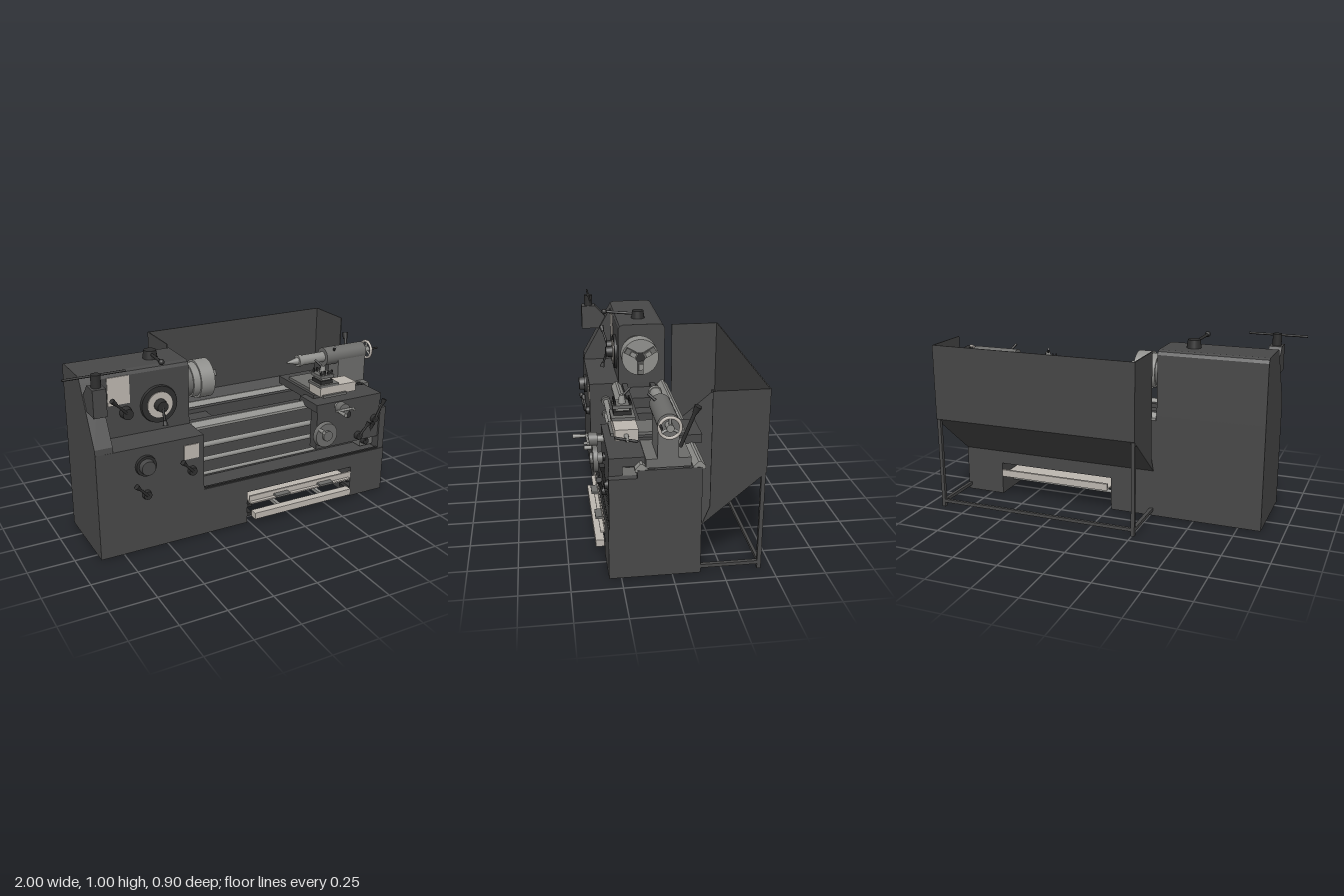
import * as THREE from 'three';

const paint = (name, color, side = THREE.FrontSide) => {
  const m = new THREE.MeshStandardMaterial({ color, side });
  m.name = name;
  return m;
};

export function createModel() {
  const root = new THREE.Group();
  root.name = 'metalLathe';
  const body = paint('body grey', 0x484848);
  const sheet = paint('sheet grey', 0x464646, THREE.DoubleSide);
  const black = paint('black', 0x2e2e2e);
  const cast = paint('cast grey', 0x6c6c6a);
  const steel = paint('steel', 0x8f8f8c);
  const light = paint('light beige', 0xbdb7b0);

  const add = (name, geo, mat, parent = root) => {
    const m = new THREE.Mesh(geo, mat);
    m.name = name;
    parent.add(m);
    return m;
  };
  // Box given by its limits on each axis
  const box = (name, mat, x0, x1, y0, y1, z0, z1) =>
    add(name, new THREE.BoxGeometry(x1 - x0, y1 - y0, z1 - z0)
      .translate((x0 + x1) / 2, (y0 + y1) / 2, (z0 + z1) / 2), mat);
  // Round bar between two points
  const bar = (name, mat, a, b, r0, r1 = r0, seg = 20) => {
    const p = new THREE.Vector3(...a), q = new THREE.Vector3(...b);
    const d = q.clone().sub(p);
    const m = add(name, new THREE.CylinderGeometry(r1, r0, d.length(), seg), mat);
    m.position.copy(p).add(q).multiplyScalar(0.5);
    m.quaternion.setFromUnitVectors(new THREE.Vector3(0, 1, 0), d.normalize());
    return m;
  };
  const ball = (name, mat, c, r) =>
    add(name, new THREE.SphereGeometry(r, 16, 12), mat).position.set(...c);
  // Outline of [z, y] points pulled along x
  const profile = (name, mat, pts, x0, x1) => {
    const s = new THREE.Shape(pts.map(p => new THREE.Vector2(...p)));
    const g = new THREE.ExtrudeGeometry(s, { depth: x1 - x0, bevelEnabled: false });
    return add(name, g.rotateY(-Math.PI / 2).translate(x1, 0, 0), mat);
  };
  // Lever with hub on a front-facing panel and a knob at its end
  const lever = (name, x, y, z, dx, dy, out = 0.03, r = 0.028) => {
    bar(name + 'Hub', black, [x, y, z], [x, y, z + out], r, r * 0.85);
    bar(name + 'Arm', black, [x, y, z + out * 0.8], [x + dx, y + dy, z + out * 1.5], 0.008, 0.006, 10);
    bar(name + 'Knob', black, [x + dx * 0.8, y + dy * 0.8, z + out * 1.4],
      [x + dx * 1.1, y + dy * 1.1, z + out * 1.55], 0.009, 0.015, 12);
  };

  // Cabinet and base
  box('headCabinet', body, -0.875, -0.28, 0, 0.59, -0.14, 0.31);
  box('basePedestalLeft', body, -0.28, -0.015, 0, 0.27, -0.14, 0.31);
  box('basePedestalRight', body, 0.68, 0.91, 0, 0.27, -0.14, 0.31);
  box('baseBeamFront', body, -0.015, 0.68, 0.19, 0.27, 0.09, 0.31);
  box('baseBeamRear', body, -0.015, 0.68, 0.19, 0.27, -0.14, -0.05);
  box('drainLip', black, -0.28, 0.87, 0.27, 0.278, 0.29, 0.305);

  // Headstock and its sloping end cover
  const crown = [[0.105, 0.945], [-0.115, 0.945], [-0.132, 0.937], [-0.14, 0.92]];
  profile('headstock', body, [[0.135, 0.585], [0.135, 0.92], [0.127, 0.937], ...crown, [-0.14, 0.585]], -0.79, -0.28);
  profile('endCover', body, [[0.31, 0.585], [0.305, 0.62], [0.14, 0.915], [0.127, 0.937], ...crown, [-0.14, 0.585]], -0.875, -0.78);
  bar('topLeverHub', black, [-0.44, 0.945, 0], [-0.44, 0.99, 0], 0.04, 0.034);
  bar('topLeverArm', black, [-0.44, 0.97, 0.02], [-0.46, 0.982, 0.19], 0.008);
  ball('topLeverKnob', black, [-0.46, 0.983, 0.2], 0.016);

  // Headstock controls
  box('speedChart', light, -0.735, -0.615, 0.77, 0.92, 0.135, 0.14);
  lever('feedLever', -0.64, 0.72, 0.135, -0.085, 0.09, 0.04, 0.034);
  bar('dialRim', black, [-0.455, 0.735, 0.135], [-0.455, 0.735, 0.15], 0.104, 0.1, 40);
  bar('dialFace', light, [-0.455, 0.735, 0.15], [-0.455, 0.735, 0.156], 0.07, 0.07, 40);
  lever('speedLever', -0.455, 0.735, 0.156, 0, -0.085, 0.04, 0.035);

  // Cabinet controls
  bar('rangeDial', black, [-0.61, 0.485, 0.31], [-0.61, 0.485, 0.325], 0.058, 0.055, 32);
  bar('rangeDialKnob', body, [-0.61, 0.485, 0.325], [-0.61, 0.485, 0.355], 0.042, 0.038, 32);
  box('feedChart', light, -0.395, -0.31, 0.47, 0.55, 0.31, 0.315);
  lever('threadLever', -0.35, 0.4, 0.31, -0.06, 0.065, 0.02, 0.026);
  lever('directionLever', -0.61, 0.32, 0.31, -0.06, 0.065, 0.02, 0.026);

  // Box on the end cover with a post and cross bar
  profile('endBox', body, [[0.315, 0.79], [0.315, 0.935], [0.23, 0.935], [0.17, 0.87], [0.17, 0.79]], -0.87, -0.8);
  bar('endBoxPost', black, [-0.835, 0.935, 0.27], [-0.835, 1.0, 0.27], 0.025);
  bar('endBoxCrossBar', black, [-1, 0.994, 0.268], [-0.68, 0.994, 0.268], 0.006, 0.006, 10);

  // Chuck with three jaws
  const cy = 0.795, cz = 0.025;
  bar('spindleNose', cast, [-0.28, cy, cz], [-0.235, cy, cz], 0.085, 0.085, 40);
  bar('chuckBackplate', steel, [-0.24, cy, cz], [-0.2, cy, cz], 0.095, 0.095, 40);
  bar('chuckBody', steel, [-0.2, cy, cz], [-0.12, cy, cz], 0.106, 0.106, 40);
  bar('chuckBore', black, [-0.12, cy, cz], [-0.118, cy, cz], 0.03);
  for (let i = 0; i < 3; i++) {
    const jaw = new THREE.Group();
    jaw.name = 'chuckJaw';
    add('jawSlide', new THREE.BoxGeometry(0.016, 0.075, 0.034).translate(-0.112, 0.06, 0), cast, jaw);
    add('jawStep', new THREE.BoxGeometry(0.03, 0.035, 0.026).translate(-0.105, 0.05, 0), steel, jaw);
    jaw.position.set(0, cy, cz);
    jaw.rotation.x = Math.PI + i * Math.PI * 2 / 3;
    root.add(jaw);
  }

  // Bed walls, ways and cross webs
  box('bedWallFront', body, -0.28, 0.89, 0.27, 0.57, 0.09, 0.165);
  box('bedWallRear', body, -0.28, 0.89, 0.27, 0.57, -0.14, -0.05);
  box('bedHeadWeb', body, -0.28, -0.09, 0.27, 0.56, -0.05, 0.09);
  box('bedTailWeb', body, 0.72, 0.89, 0.27, 0.56, -0.05, 0.09);
  box('bedCentreWeb', body, -0.09, 0, 0.27, 0.5, -0.05, 0.09);
  for (const z of [0.15, -0.125])
    profile('veeWay', steel, [[z - 0.03, 0.56], [z + 0.03, 0.56], [z + 0.03, 0.575], [z + 0.006, 0.6], [z - 0.006, 0.6], [z - 0.03, 0.575]], -0.28, 0.908);
  for (const z of [0.1, -0.065]) box('flatWay', body, -0.28, 0.9, 0.57, 0.585, z - 0.015, z + 0.015);

  // Lead screw, feed rod and control rod
  [[0.485, 0.015], [0.4, 0.013], [0.315, 0.01]].forEach(([y, r]) => {
    bar('driveRod', steel, [-0.28, y, 0.215], [0.88, y, 0.215], r);
    bar('rodCollar', cast, [-0.28, y, 0.215], [-0.255, y, 0.215], r * 1.8);
  });
  box('rodBracket', cast, 0.78, 0.87, 0.28, 0.53, 0.165, 0.25);
  box('bedEndPlate', body, 0.87, 0.91, 0.27, 0.53, 0.16, 0.305);
  box('bedEndCap', body, 0.885, 0.91, 0.27, 0.57, -0.14, 0.17);

  // Saddle and apron
  box('saddle', body, 0.47, 0.68, 0.595, 0.64, -0.18, 0.2);
  box('saddleFront', body, 0.43, 0.87, 0.575, 0.62, 0.12, 0.3);
  box('apron', body, 0.435, 0.865, 0.35, 0.58, 0.235, 0.3);
  bar('apronWheel', cast, [0.47, 0.45, 0.325], [0.47, 0.45, 0.35], 0.075, 0.07, 36);
  bar('apronWheelHub', cast, [0.47, 0.45, 0.3], [0.47, 0.45, 0.365], 0.03);
  bar('apronWheelGrip', steel, [0.425, 0.49, 0.345], [0.425, 0.49, 0.39], 0.01, 0.012);
  bar('apronPlug', black, [0.64, 0.53, 0.3], [0.64, 0.53, 0.31], 0.02);
  lever('halfNutLever', 0.72, 0.385, 0.3, 0.045, 0.075, 0.025, 0.024);
  lever('clutchLever', 0.83, 0.47, 0.3, 0.04, 0.11, 0.02, 0.024);
  lever('spindleLever', 0.8, 0.32, 0.25, 0.02, 0.11, 0.035, 0.022);

  // Cross slide with its crank
  box('crossSlide', cast, 0.49, 0.65, 0.64, 0.655, -0.1, 0.27);
  box('crossSlideBlock', light, 0.48, 0.72, 0.645, 0.7, 0.14, 0.255);
  bar('crossScrew', steel, [0.565, 0.597, 0.29], [0.565, 0.597, 0.33], 0.018);
  bar('crossWheel', cast, [0.565, 0.597, 0.33], [0.565, 0.597, 0.375], 0.034, 0.034, 28);
  bar('crossCrank', steel, [0.505, 0.597, 0.378], [0.625, 0.597, 0.378], 0.007);
  bar('crossGrip', steel, [0.52, 0.597, 0.378], [0.52, 0.597, 0.45], 0.007, 0.011);
  bar('crossGripShort', steel, [0.615, 0.597, 0.378], [0.615, 0.597, 0.4], 0.007);

  // Top slide and four-way tool post
  bar('topSlideScrew', steel, [0.72, 0.668, 0.2], [0.79, 0.668, 0.2], 0.012, 0.006);
  bar('topSlideCrank', black, [0.765, 0.655, 0.15], [0.765, 0.68, 0.26], 0.007);
  box('topSlide', cast, 0.47, 0.6, 0.7, 0.715, 0.14, 0.26);
  box('toolPostBase', black, 0.485, 0.565, 0.715, 0.735, 0.155, 0.245);
  box('toolPostCore', steel, 0.495, 0.555, 0.735, 0.75, 0.165, 0.235);
  box('toolPostTop', cast, 0.48, 0.57, 0.75, 0.768, 0.15, 0.25);
  for (const x of [0.49, 0.513, 0.537, 0.56])
    for (const z of [0.162, 0.238])
      bar('clampScrew', black, [x, 0.768, z], [x, 0.79, z], 0.006, 0.006, 8);
  bar('toolPostHub', steel, [0.525, 0.768, 0.2], [0.525, 0.81, 0.2], 0.02, 0.012);
  bar('toolPostHandle', black, [0.525, 0.8, 0.2], [0.5, 0.835, 0.155], 0.006);

  // Tailstock
  profile('tailstockBase', cast, [[0.13, 0.58], [0.13, 0.625], [-0.085, 0.625], [-0.085, 0.58]], 0.66, 0.91);
  box('tailstockColumn', cast, 0.72, 0.91, 0.62, 0.78, -0.025, 0.075);
  bar('tailstockBarrel', cast, [0.64, cy, cz], [0.915, cy, cz], 0.053, 0.053, 36);
  bar('tailstockQuill', steel, [0.48, cy, cz], [0.64, cy, cz], 0.03);
  bar('quillCollar', steel, [0.465, cy, cz], [0.49, cy, cz], 0.034);
  bar('centrePoint', steel, [0.465, cy, cz], [0.395, cy, cz], 0.022, 0.004);
  bar('tailstockShaft', steel, [0.915, cy, cz], [0.965, cy, cz], 0.018);
  const rim = add('tailstockHandwheel', new THREE.TorusGeometry(0.05, 0.008, 10, 32), light);
  rim.rotation.y = Math.PI / 2;
  rim.position.set(0.953, cy, cz);
  for (let i = 0; i < 3; i++) {
    const a = i * Math.PI * 2 / 3;
    bar('wheelSpoke', steel, [0.953, cy, cz], [0.953, cy + 0.05 * Math.cos(a), cz + 0.05 * Math.sin(a)], 0.007, 0.007, 8);
  }
  bar('wheelGrip', black, [0.953, cy + 0.015, cz + 0.045], [1, cy + 0.015, cz + 0.045], 0.006);
  bar('quillLockLever', black, [0.7, 0.83, 0.05], [0.68, 0.865, 0.09], 0.007);
  bar('tailstockClampLever', black, [0.86, 0.66, -0.04], [0.89, 0.85, -0.105], 0.009);
  bar('clampLeverKnob', black, [0.887, 0.835, -0.1], [0.893, 0.87, -0.115], 0.012, 0.019);

  // Chip tray and foot bar in the base opening
  box('chipTrayFloor', light, 0, 0.665, 0.12, 0.128, -0.16, 0.33);
  box('chipTrayFront', light, 0, 0.68, 0.12, 0.16, 0.3, 0.31);
  box('chipTrayRear', light, 0, 0.665, 0.12, 0.16, -0.17, -0.155);
  for (const x of [0.2, 0.49]) {
    box('trayHandle', cast, x - 0.045, x + 0.045, 0.13, 0.142, 0.31, 0.345);
    box('footBarArm', steel, x - 0.01, x + 0.01, 0.04, 0.06, 0.0, 0.32);
  }
  box('footBar', light, 0.012, 0.655, 0.035, 0.072, 0.31, 0.355);
  bar('footBarAxle', steel, [-0.015, 0.05, 0], [0.68, 0.05, 0], 0.01);
  for (const y of [0.05, 0.105])
    for (const x of [0, 0.67]) box('trayBracket', black, x - 0.015, x + 0.015, y - 0.01, y + 0.01, 0.24, 0.31);

  // Splash guard: back, sloping floor and two side panels
  const t = 0.006;
  box('guardBack', sheet, -0.265, 0.91, 0.525, 0.945, -0.45, -0.45 + t);
  profile('guardSlope', sheet, [[-0.45, 0.525], [-0.14, 0.265], [-0.14, 0.274], [-0.45, 0.534]], -0.265, 0.91);
  for (const x of [-0.265, 0.91 - t])
    profile('guardSide', sheet, [[-0.178, 0.945], [-0.45, 0.945], [-0.45, 0.525], [-0.14, 0.265], [-0.178, 0.36]], x, x + t);

  // Guard frame
  for (const x of [-0.265, 0.89]) {
    box('guardLeg', body, x, x + 0.02, 0, 0.53, -0.445, -0.425);
    box('guardFoot', body, x, x + 0.02, 0.025, 0.043, -0.43, -0.14);
  }
  box('guardRail', body, -0.265, 0.91, 0.025, 0.043, -0.443, -0.427);

  return root;
}
